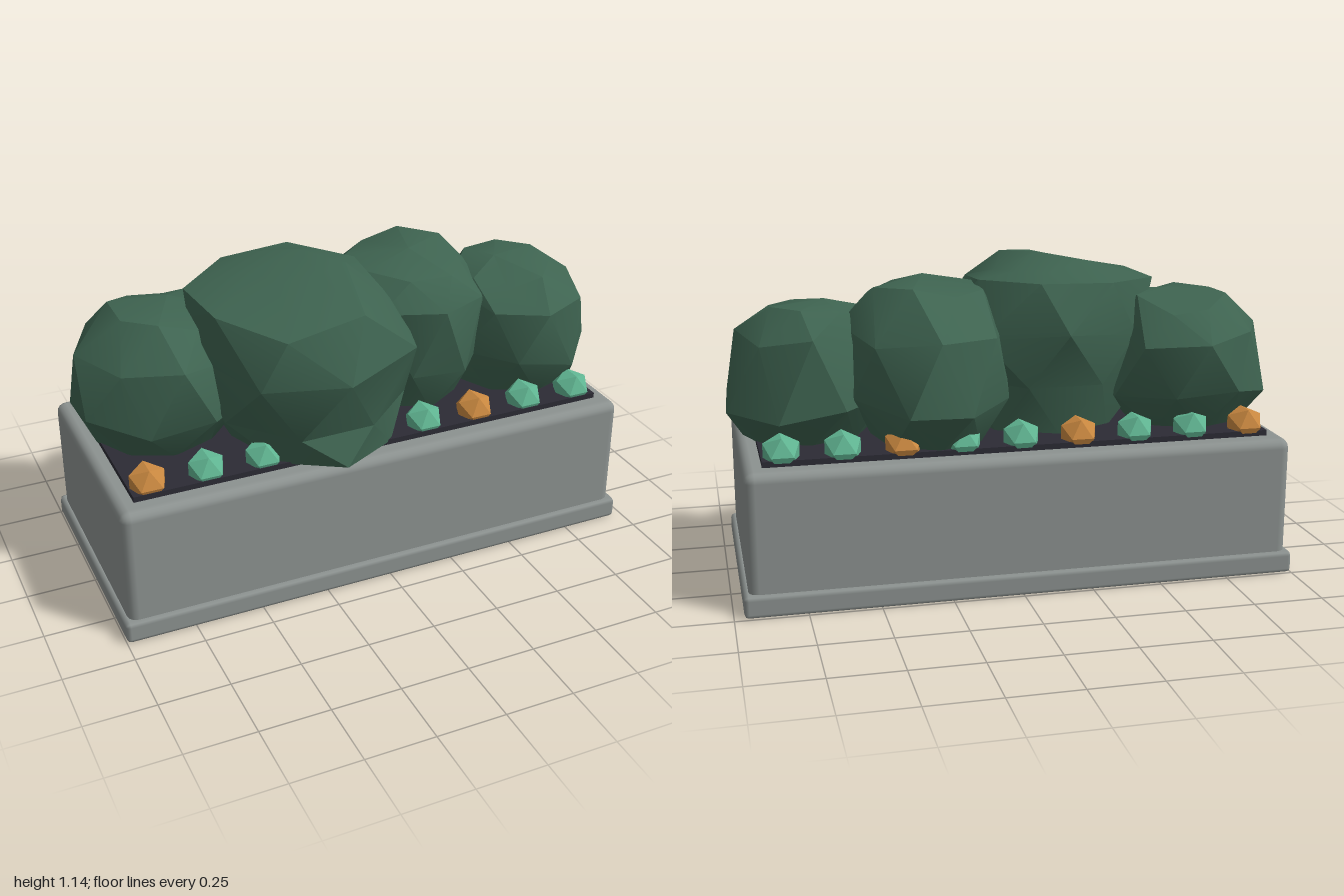
import * as THREE from 'three';
import { toCreasedNormals } from 'three/addons/utils/BufferGeometryUtils.js';
import { RoundedBoxGeometry } from 'three/addons/geometries/RoundedBoxGeometry.js';

const CX = -0.017, CZ = -0.042; // centre of the planter

function material(name, color) {
  const m = new THREE.MeshStandardMaterial({ color });
  m.name = name;
  return m;
}

function seeded(seed) {
  return () => {
    seed = (seed * 16807) % 2147483647;
    return seed / 2147483647;
  };
}

// Faceted shrub lofted through rings [y, centre x, centre z, radius x, radius z];
// every other ring is turned half a step so the skin is made of broad triangles.
function shrubGeometry(rings, top, seed) {
  const sides = 8, rand = seeded(seed), points = [], index = [];
  rings.forEach(([y, cx, cz, rx, rz], j) => {
    for (let k = 0; k < sides; k++) {
      const a = ((k + (j % 2) / 2) / sides) * Math.PI * 2;
      const r = (j % 2 ? 1.04 : 1) * (0.93 + 0.1 * rand());
      const lift = j === 0 ? 0 : (rand() - 0.5) * 0.07;
      points.push(cx + Math.cos(a) * rx * r, y + lift, cz + Math.sin(a) * rz * r);
    }
  });
  const last = (rings.length - 1) * sides, peak = rings.length * sides;
  points.push(...top, rings[0][1], rings[0][0], rings[0][2]);
  for (let k = 0; k < sides; k++) {
    const n = (k + 1) % sides;
    for (let j = 0; j < rings.length - 1; j++) {
      const lo = j * sides, up = lo + sides;
      if (j % 2 === 0) index.push(lo + k, up + k, lo + n, lo + n, up + k, up + n);
      else index.push(lo + k, up + n, lo + n, lo + k, up + k, up + n);
    }
    index.push(last + k, peak, last + n, k, n, peak + 1);
  }
  const g = new THREE.BufferGeometry();
  g.setAttribute('position', new THREE.Float32BufferAttribute(points, 3));
  g.setIndex(index);
  return toCreasedNormals(g, 0.5);
}

export function createModel() {
  const model = new THREE.Group();
  model.name = 'planter';
  const stone = material('stone', 0x8c9290);
  const soil = material('soil', 0x2c2b35);
  const leaf = material('leaf', 0x3e6350);
  const teal = material('teal bloom', 0x60b592);
  const orange = material('orange bloom', 0xc98840);

  function add(name, geometry, mat, x = 0, y = 0, z = 0) {
    const mesh = new THREE.Mesh(geometry, mat);
    mesh.name = name;
    mesh.position.set(x, y, z);
    model.add(mesh);
    return mesh;
  }

  // Trough with a wider foot and a soil bed
  add('trough', new RoundedBoxGeometry(1.93, 0.49, 0.88, 2, 0.035), stone, CX, 0.255, CZ);
  add('foot', new RoundedBoxGeometry(1.965, 0.08, 0.915, 1, 0.016), stone, CX, 0.04, CZ);
  add('soilBed', new THREE.BoxGeometry(1.8, 0.04, 0.735), soil, CX, 0.5, CZ);

  // Rows of small blooms along the front and back
  const bloom = new THREE.IcosahedronGeometry(0.073, 0).rotateY(Math.PI / 2);
  for (const [row, z] of [['front', 0.265], ['back', -0.355]]) {
    for (let i = 0; i < 9; i++) {
      add(`${row}Bloom${i + 1}`, bloom, i % 3 === 0 ? orange : teal, -0.85 + i * 0.208, 0.531, z);
    }
  }

  // Four overlapping shrubs
  const shrubs = [
    ['rightShrub', [
      [0.51, -0.70, -0.10, 0.22, 0.22],
      [0.65, -0.69, -0.10, 0.31, 0.33],
      [0.86, -0.68, -0.11, 0.29, 0.33],
      [0.97, -0.65, -0.13, 0.17, 0.2],
    ], [-0.62, 1.01, -0.14], 11],
    ['tallShrub', [
      [0.51, -0.18, 0.06, 0.3, 0.36],
      [0.66, -0.20, 0.05, 0.36, 0.37],
      [0.86, -0.19, 0.06, 0.41, 0.45],
      [1.03, -0.24, 0.04, 0.34, 0.35],
      [1.11, -0.17, -0.02, 0.18, 0.18],
    ], [-0.15, 1.14, -0.04], 29],
    ['backShrub', [
      [0.51, 0.27, -0.12, 0.22, 0.29],
      [0.67, 0.28, -0.13, 0.29, 0.38],
      [0.90, 0.28, -0.11, 0.3, 0.37],
      [1.03, 0.27, -0.08, 0.2, 0.23],
    ], [0.27, 1.075, -0.04], 47],
    ['leftShrub', [
      [0.51, 0.70, -0.01, 0.24, 0.22],
      [0.65, 0.70, -0.03, 0.29, 0.3],
      [0.88, 0.69, -0.01, 0.26, 0.3],
      [0.96, 0.65, -0.01, 0.17, 0.18],
    ], [0.62, 0.995, -0.02], 83],
  ];
  for (const [name, rings, top, seed] of shrubs) add(name, shrubGeometry(rings, top, seed), leaf);

  return model;
}
